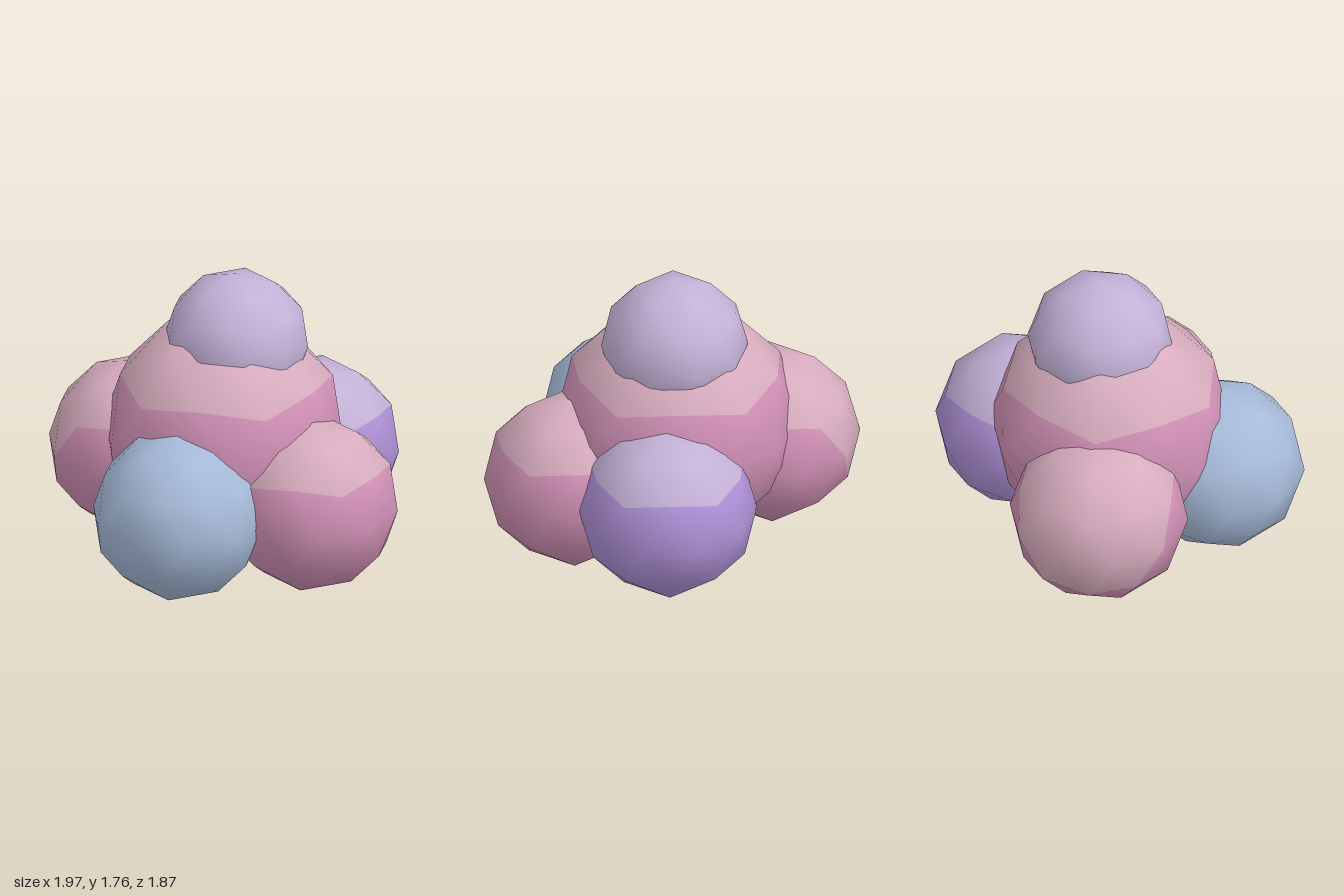
import * as THREE from 'three';

const mat = (name, color) => {
  const m = new THREE.MeshStandardMaterial({ color });
  m.name = name;
  return m;
};

const UP = new THREE.Vector3(0, 1, 0);
const SPIN = Math.PI / 10;
// Corner of the upper ring that points back and to the right
const BACK_RIGHT = new THREE.Vector3().setFromSphericalCoords(1, Math.atan(2), 13 * SPIN);

// Low-poly ball with a corner on top and smooth normals;
// the faces around each listed corner take the cap colour
function ball(name, radius, centre, base, cap, capAxes = [UP]) {
  const geo = new THREE.IcosahedronGeometry(radius, 1);
  const corner = new THREE.Vector3(0, 1, (1 + Math.sqrt(5)) / 2).normalize();
  geo.applyQuaternion(new THREE.Quaternion().setFromUnitVectors(corner, UP));
  geo.rotateY(SPIN);

  if (cap) {
    const pos = geo.attributes.position;
    const middle = new THREE.Vector3();
    const point = new THREE.Vector3();
    for (let i = 0; i < pos.count; i += 3) {
      middle.set(0, 0, 0);
      for (let k = 0; k < 3; k++) middle.add(point.fromBufferAttribute(pos, i + k));
      middle.divideScalar(3 * radius);
      geo.addGroup(i, 3, capAxes.some((axis) => middle.dot(axis) > 0.5) ? 1 : 0);
    }
  }

  const mesh = new THREE.Mesh(geo, cap ? [base, cap] : base);
  mesh.name = name;
  mesh.position.set(...centre);
  return mesh;
}

export function createModel() {
  const pink = mat('pink', 0xd090b5);
  const palePink = mat('palePink', 0xd8adbf);
  const purple = mat('purple', 0xae90d6);
  const lilac = mat('lilac', 0xc4b2d8);
  const blue = mat('blue', 0xa6bad8);

  const group = new THREE.Group();
  group.name = 'ballCluster';
  group.add(
    // Large central ball and the small one on top
    ball('centreBall', 0.7, [-0.03, 0.81, -0.1], pink, palePink),
    ball('topBall', 0.42, [0.045, 1.35, -0.13], lilac),
    // Four balls around the base
    ball('frontRightBall', 0.5, [-0.335, 0.53, 0.43], blue),
    ball('frontLeftBall', 0.508, [0.435, 0.515, 0.31], pink, palePink),
    ball('backLeftBall', 0.51, [0.5, 0.565, -0.385], purple, lilac),
    ball('backRightBall', 0.515, [-0.5, 0.595, -0.425], pink, palePink, [UP, BACK_RIGHT]),
  );
  return group;
}
